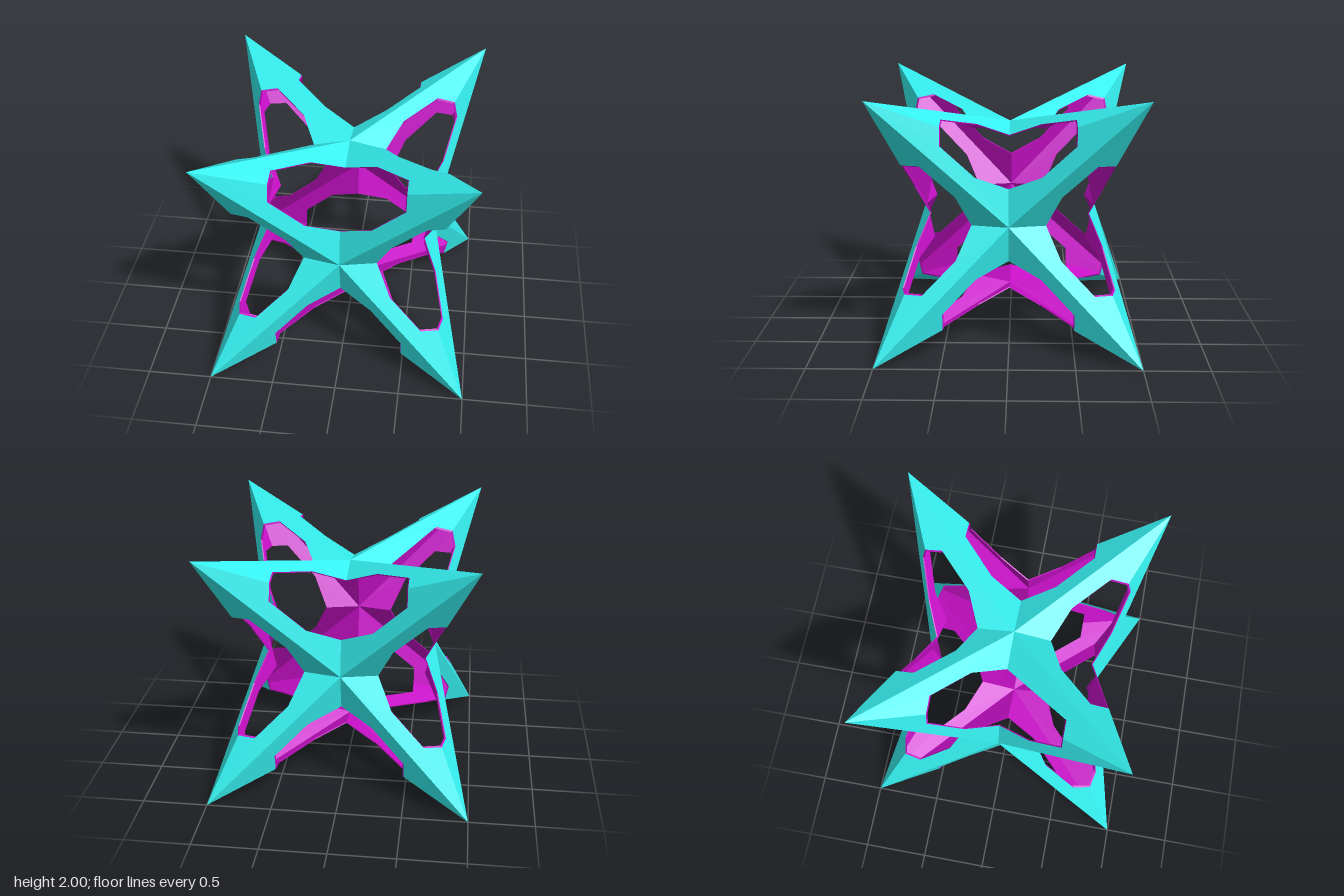
import * as THREE from 'three';

// Surface height of one face sector, in local coordinates 0 <= x <= y <= z
const height = (x, y) => 0.68 + 0.534 * x - 0.214 * y;
const ridge = (x) => (0.68 + 0.534 * x) / 1.214; // where two faces meet (y = z)

// Outline of a sector: face centre, star tip, then along the window's edge
const SECTOR = [[0, 0], [1, 1], [0.495, ridge(0.495)], [0.495, 0.645], [0.245, 0.393], [0, 0.28]];
const RIM_START = 2;
const INNER_SCALE = 0.985;

// Axis orders, with their parity
const ORDERS = [
  [0, 1, 2, 1], [1, 2, 0, 1], [2, 0, 1, 1],
  [0, 2, 1, -1], [2, 1, 0, -1], [1, 0, 2, -1],
];

function makeMesh(points, color, name) {
  const geometry = new THREE.BufferGeometry().setFromPoints(points);
  geometry.computeVertexNormals();
  const mesh = new THREE.Mesh(geometry, new THREE.MeshStandardMaterial({ color, flatShading: true }));
  mesh.name = name;
  return mesh;
}

export function createModel() {
  const outer = [], inner = [], rim = [];
  const inward = (p) => p.clone().multiplyScalar(INNER_SCALE);

  // 48 mirrored sectors: six axis orders in each of the eight octants
  for (const [a, b, c, parity] of ORDERS) {
    for (let octant = 0; octant < 8; octant++) {
      const sign = [0, 1, 2].map((i) => (octant >> i & 1 ? -1 : 1));
      const flip = parity * sign[0] * sign[1] * sign[2] < 0;
      // One sector of the top has a straight window edge
      const straight = c === 1 && b === 0 && sign[0] < 0 && sign[1] > 0 && sign[2] > 0;
      const outline = SECTOR.filter((_, i) => !(straight && i === 4));
      const corners = outline.map(([x, y]) => {
        const p = [0, 0, 0];
        p[a] = x * sign[a];
        p[b] = y * sign[b];
        p[c] = height(x, y) * sign[c];
        return new THREE.Vector3(...p);
      });
      const add = (list, p, q, r, reverse) => (reverse ? list.push(p, r, q) : list.push(p, q, r));

      // Outer skin and lining
      const flat = outline.map(([x, y]) => new THREE.Vector2(x, y));
      for (const tri of THREE.ShapeUtils.triangulateShape(flat, [])) {
        const [p, q, r] = tri.map((i) => corners[i]);
        add(outer, p, q, r, flip);
        add(inner, inward(p), inward(q), inward(r), !flip);
      }

      // Thin wall around the window
      for (let i = RIM_START; i < corners.length - 1; i++) {
        const p = corners[i], q = corners[i + 1];
        add(rim, p, inward(p), inward(q), flip);
        add(rim, p, inward(q), q, flip);
      }
    }
  }

  const star = new THREE.Group();
  star.name = 'openworkStar';
  star.add(
    makeMesh(outer, 0x35f0f0, 'outerShell'),
    makeMesh(inner, 0xc810c8, 'innerLining'),
    makeMesh(rim, 0xc810c8, 'windowRims'),
  );
  star.position.y = 1;
  const model = new THREE.Group();
  model.add(star);
  return model;
}
